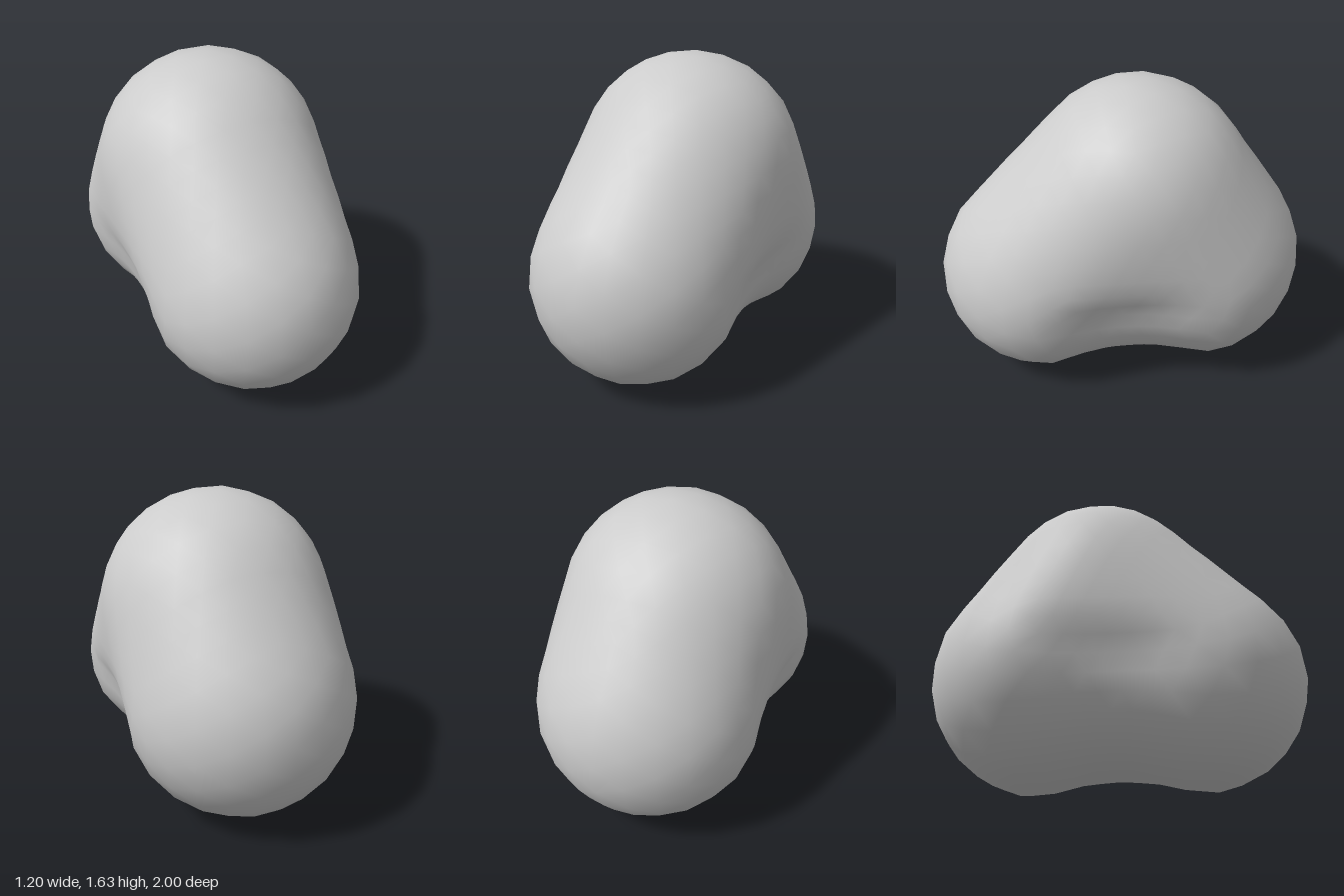
import * as THREE from 'three';
import { mergeVertices } from 'three/addons/utils/BufferGeometryUtils.js';

// Rounded triangle: centres of the front, back and crown lobes, with their radii
const frontLobe = new THREE.Vector3(-0.012, 0.565, 0.44);
const backLobe = new THREE.Vector3(0, 0.605, -0.396);
const crownLobe = new THREE.Vector3(-0.002, 1.04, -0.085);
const radii = new THREE.Vector3(0.562, 0.605, 0.6);
const core = new THREE.Triangle(frontLobe, backLobe, crownLobe);
const hollowDepth = 0.07;

// Signed distance to the body: thickness varies smoothly over the core triangle
const closest = new THREE.Vector3();
const weights = new THREE.Vector3();
function bodyDistance(point) {
  core.closestPointToPoint(point, closest);
  core.getBarycoord(closest, weights);
  // Shallow hollow under the body between the front and back lobes
  const hollow = hollowDepth * 4 * weights.x * weights.y * (1 - weights.z) ** 3;
  return point.distanceTo(closest) - weights.dot(radii) + hollow;
}

// Push every sphere vertex out along its ray until it meets the surface
function bodyGeometry() {
  const sphere = new THREE.IcosahedronGeometry(1, 6);
  sphere.deleteAttribute('normal');
  sphere.deleteAttribute('uv');
  const geometry = mergeVertices(sphere, 1e-4);
  const position = geometry.attributes.position;
  const middle = new THREE.Vector3(0, 0.72, 0);
  const direction = new THREE.Vector3();
  const point = new THREE.Vector3();
  for (let i = 0; i < position.count; i++) {
    direction.fromBufferAttribute(position, i).normalize();
    let near = 0, far = 2;
    for (let step = 0; step < 30; step++) {
      const reach = (near + far) / 2;
      point.copy(middle).addScaledVector(direction, reach);
      if (bodyDistance(point) < 0) near = reach;
      else far = reach;
    }
    position.setXYZ(i, point.x, point.y, point.z);
  }
  geometry.computeVertexNormals();
  return geometry;
}

export function createModel() {
  const model = new THREE.Group();
  const body = new THREE.Mesh(
    bodyGeometry(),
    new THREE.MeshStandardMaterial({ color: 0xcccccc }),
  );
  body.name = 'body';
  model.add(body);
  return model;
}
